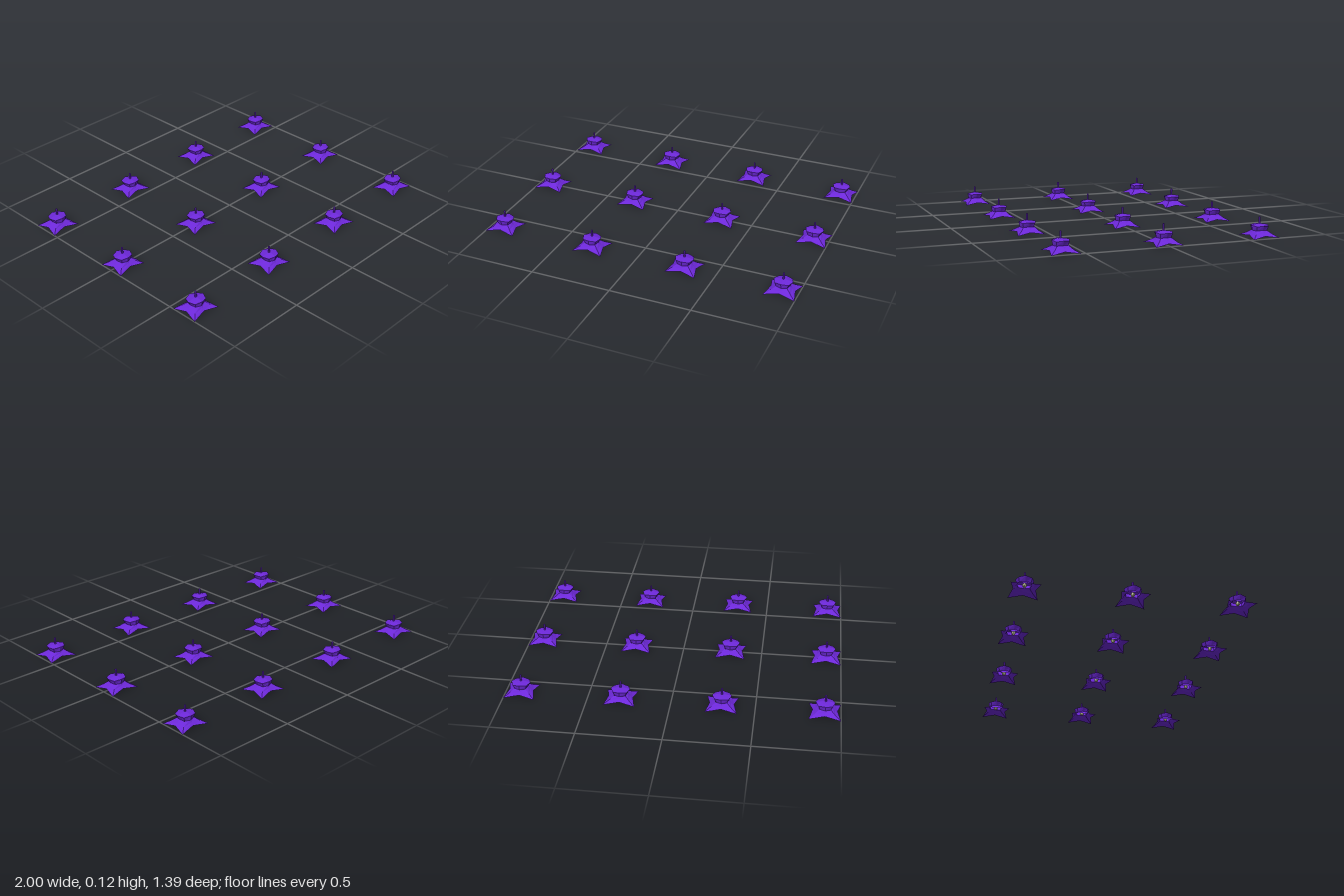
import * as THREE from 'three';

// Eight-point ring: four corners (cx, cy, cz) alternating with side midpoints (mx, mz at height my)
function ring(cx, cy, cz, mx, my, mz) {
  const points = [];
  for (let i = 0; i < 8; i++) {
    const a = (i * Math.PI) / 4;
    const c = Math.round(Math.cos(a)), s = Math.round(Math.sin(a));
    points.push(i % 2
      ? new THREE.Vector3(c * cx, cy, s * cz)
      : new THREE.Vector3(c * mx, my, s * mz));
  }
  return points;
}

// Skin a stack of rings, listed from bottom to top
function loft(rings) {
  const n = rings[0].length, index = [];
  for (let r = 0; r < rings.length - 1; r++) {
    for (let i = 0; i < n; i++) {
      const a = r * n + i, b = r * n + ((i + 1) % n);
      index.push(a, a + n, b, b, a + n, b + n);
    }
  }
  const geometry = new THREE.BufferGeometry().setFromPoints(rings.flat());
  geometry.setIndex(index);
  geometry.computeVertexNormals();
  return geometry;
}

export function createModel() {
  const model = new THREE.Group();
  model.name = 'hangingFlowers';

  const purple = new THREE.MeshStandardMaterial({ color: 0x6d28d9, flatShading: true, side: THREE.DoubleSide });
  const pale = new THREE.MeshStandardMaterial({ color: 0xd8d8b0, flatShading: true });

  // Four drooping pointed petals rising to a narrow neck
  const petals = loft([
    ring(0.094, 0.002, 0.085, 0.073, 0.014, 0.064),
    ring(0.058, 0.022, 0.053, 0.056, 0.027, 0.05),
    ring(0.033, 0.04, 0.032, 0.04, 0.043, 0.04),
  ]);

  // Flared cap with a low roof
  const cap = loft([
    ring(0.031, 0.039, 0.032, 0.04, 0.041, 0.045),
    ring(0.042, 0.066, 0.038, 0.058, 0.071, 0.052),
    ring(0.021, 0.074, 0.02, 0.03, 0.076, 0.027),
    ring(0.004, 0.079, 0.004, 0.005, 0.079, 0.005),
  ]);

  const stem = new THREE.CylinderGeometry(0.006, 0.006, 0.068, 8);
  stem.translate(0, 0.084, 0);

  // Pale centre tucked under the petals
  const centre = new THREE.SphereGeometry(0.013, 8, 6);
  centre.translate(0, 0.038, 0);

  const parts = [
    ['petals', petals, purple],
    ['cap', cap, purple],
    ['stem', stem, purple],
    ['centre', centre, pale],
  ];

  // Grid of four columns and three rows
  for (const z of [-0.612, 0, 0.612]) {
    for (const x of [-0.906, -0.302, 0.302, 0.906]) {
      const flower = new THREE.Group();
      flower.name = 'flower';
      for (const [name, geometry, material] of parts) {
        const mesh = new THREE.Mesh(geometry, material);
        mesh.name = name;
        flower.add(mesh);
      }
      flower.position.set(x, 0, z);
      model.add(flower);
    }
  }
  return model;
}
